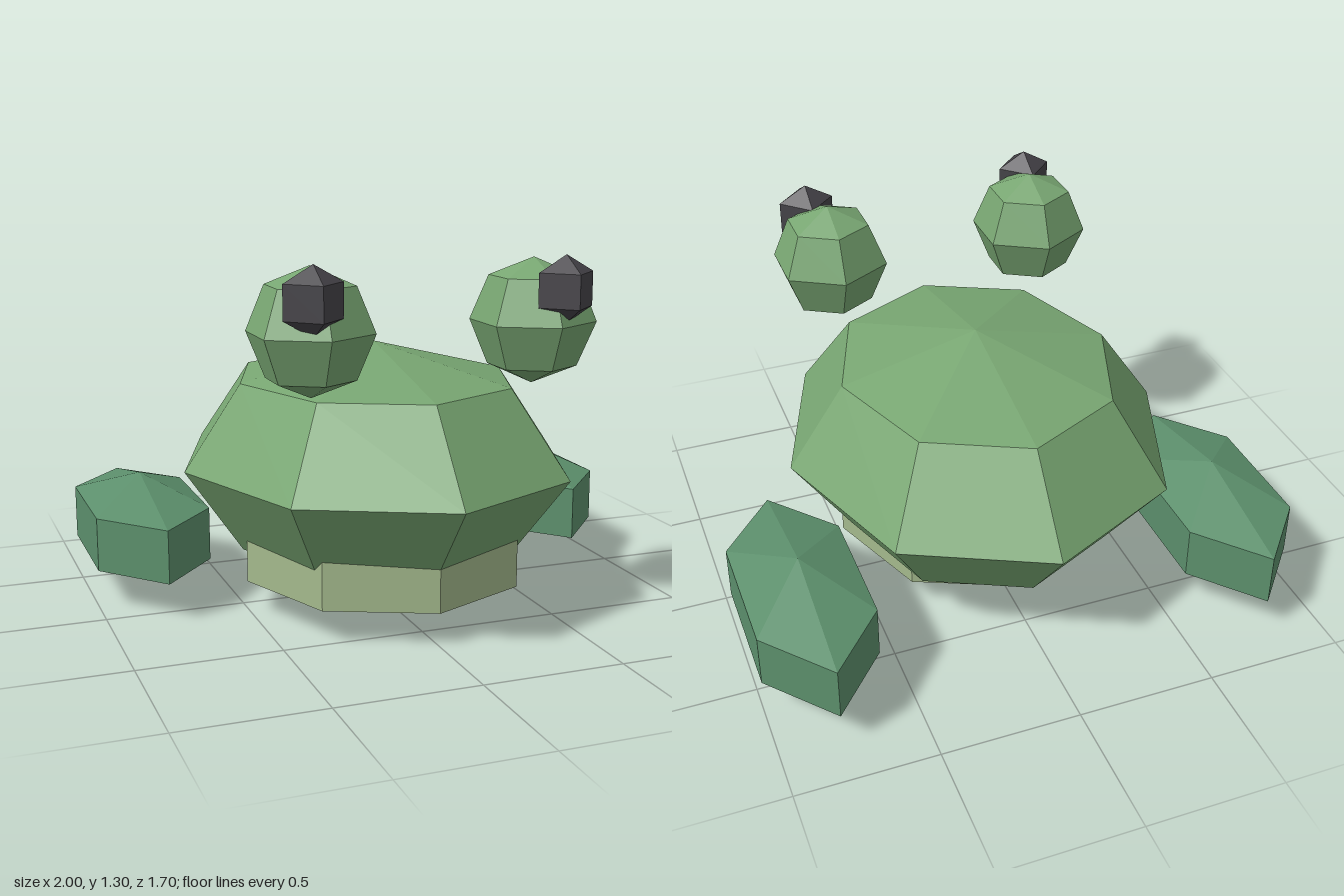
import * as THREE from 'three';

const material = (color) => new THREE.MeshStandardMaterial({ color, flatShading: true });
const skin = material(0x78a672);
const bellySkin = material(0xa3b88c);
const footSkin = material(0x5c8f6c);
const dark = material(0x454348);

// Faceted ellipsoid; turn is applied before scaling, so the radii stay on the axes
function blob(name, mat, sides, rings, radii, position, turn = 0) {
  const geometry = new THREE.SphereGeometry(1, sides, rings);
  geometry.rotateY(turn);
  geometry.scale(...radii);
  const mesh = new THREE.Mesh(geometry, mat);
  mesh.name = name;
  mesh.position.set(...position);
  return mesh;
}

export function createModel() {
  const model = new THREE.Group();
  model.name = 'frog';

  // Body and paler belly beneath it
  model.add(blob('body', skin, 8, 4, [0.71, 0.43, 0.83], [0, 0.52, 0.02]));
  model.add(blob('belly', bellySkin, 8, 3, [0.59, 0.235, 0.635], [0, 0.24, 0.105]));

  // Paired parts, left is +x
  const quarter = Math.PI / 2;
  for (const [side, s] of [['left', 1], ['right', -1]]) {
    model.add(blob(side + 'Foot', footSkin, 6, 3, [0.275, 0.195, 0.55], [s * 0.792, 0.24, -0.375], quarter));
    model.add(blob(side + 'Eye', skin, 6, 4, [0.215, 0.215, 0.215], [s * 0.396, 1.07, 0.5], quarter));
    model.add(blob(side + 'Pupil', dark, 4, 3, [0.115, 0.115, 0.115], [s * 0.436, 1.19, 0.655]));
  }
  return model;
}
